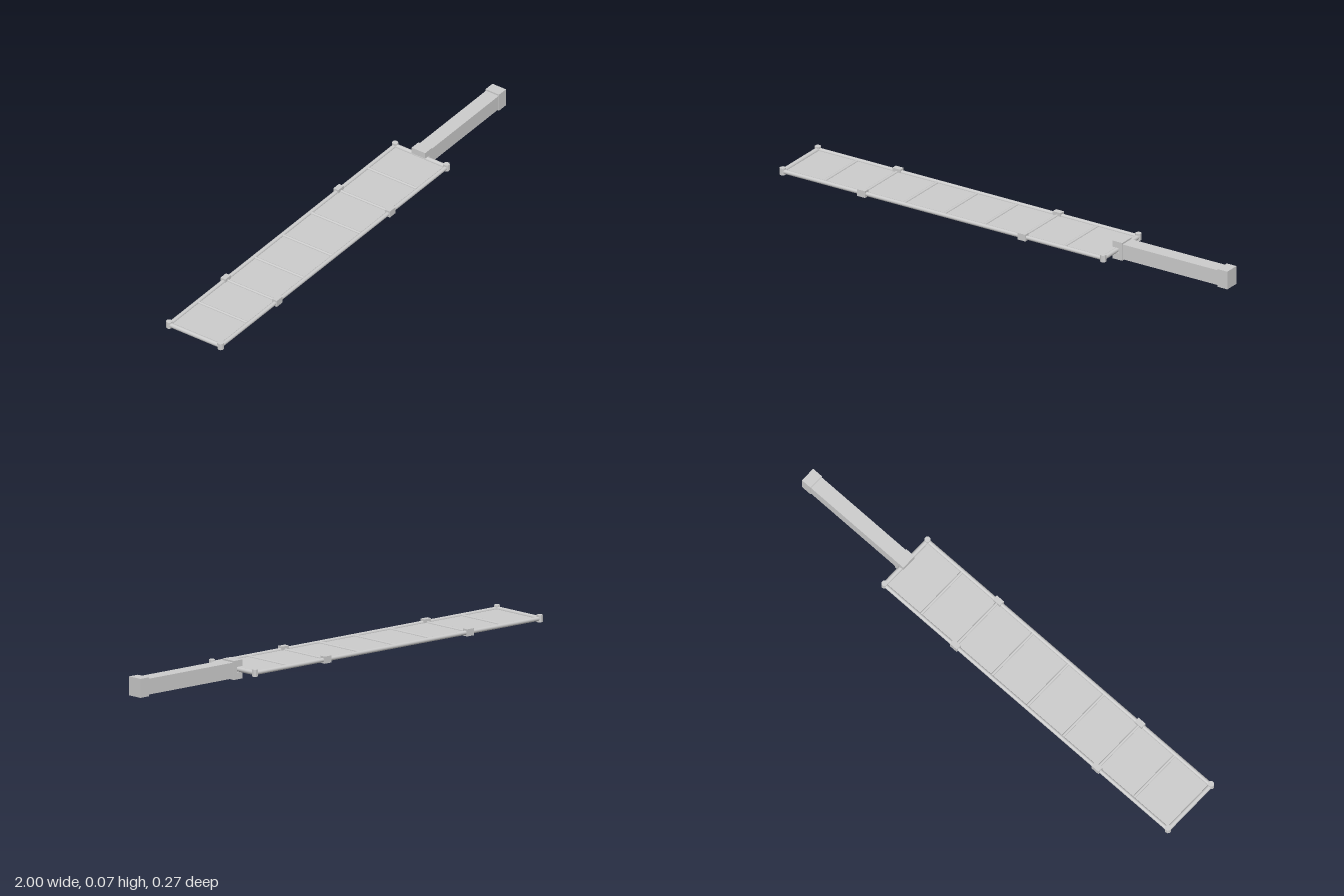
import * as THREE from 'three';

export function createModel() {
  const model = new THREE.Group();
  const grey = new THREE.MeshStandardMaterial({ color: 0xcccccc });
  const flat = new THREE.MeshStandardMaterial({ color: 0xcccccc, flatShading: true });
  const thin = new THREE.MeshStandardMaterial({ color: 0xcccccc, side: THREE.DoubleSide });

  const MID = 0.038, LEFT = 0.488, RIGHT = -0.988, HALF = 0.122, PANELS = 8;
  const step = (LEFT - RIGHT) / PANELS;

  function add(name, geometry, x, y, z, material = grey) {
    const mesh = new THREE.Mesh(geometry, material);
    mesh.name = name;
    mesh.position.set(x, y, z);
    model.add(mesh);
    return mesh;
  }
  const box = (name, w, h, d, x, y, z) => add(name, new THREE.BoxGeometry(w, h, d), x, y, z);
  const rodZ = (name, r, x) =>
    add(name, new THREE.CylinderGeometry(r, r, HALF * 2, 12).rotateX(Math.PI / 2), x, MID, 0);

  // thin panels between the cross bars
  for (let i = 0; i < PANELS; i++) {
    const sheet = new THREE.PlaneGeometry(step, 0.236).rotateX(-Math.PI / 2);
    add('panel', sheet, RIGHT + step * (i + 0.5), MID, 0, thin);
  }

  // cross bars: thicker at the two ends
  for (let i = 0; i <= PANELS; i++) {
    const end = i === 0 || i === PANELS;
    rodZ(end ? 'endBar' : 'crossBar', end ? 0.0095 : 0.006, RIGHT + step * i);
  }

  // side rails with corner posts and wide clamps
  for (const side of [1, -1]) {
    const z = side * HALF;
    const rail = new THREE.CylinderGeometry(0.0085, 0.0085, LEFT - RIGHT, 12).rotateZ(Math.PI / 2);
    add('sideRail', rail, (LEFT + RIGHT) / 2, MID, z);
    for (const x of [RIGHT, LEFT]) {
      const post = new THREE.CylinderGeometry(0.0125, 0.0125, 0.028, 8).rotateY(Math.PI / 8);
      add('cornerPost', post, x, 0.039, z, flat);
    }
    for (const i of [2, 6]) box('railClamp', 0.036, 0.028, 0.023, RIGHT + step * i, 0.039, z);
  }

  // boom with a solid outer block
  box('boom', 0.46, 0.062, 0.06, 0.735, 0.0372, 0);
  box('outerBlock', 0.045, 0.0745, 0.064, 0.9775, 0.0372, 0);

  // forked inner block gripping the end bar
  const fork = new THREE.Shape([
    [0.472, 0], [0.516, 0], [0.516, 0.0745], [0.472, 0.0745],
    [0.472, 0.049], [0.5, 0.049], [0.5, 0.027], [0.472, 0.027],
  ].map(([x, y]) => new THREE.Vector2(x, y)));
  add('forkBlock', new THREE.ExtrudeGeometry(fork, { depth: 0.064, bevelEnabled: false }), 0, 0, -0.032);

  return model;
}
